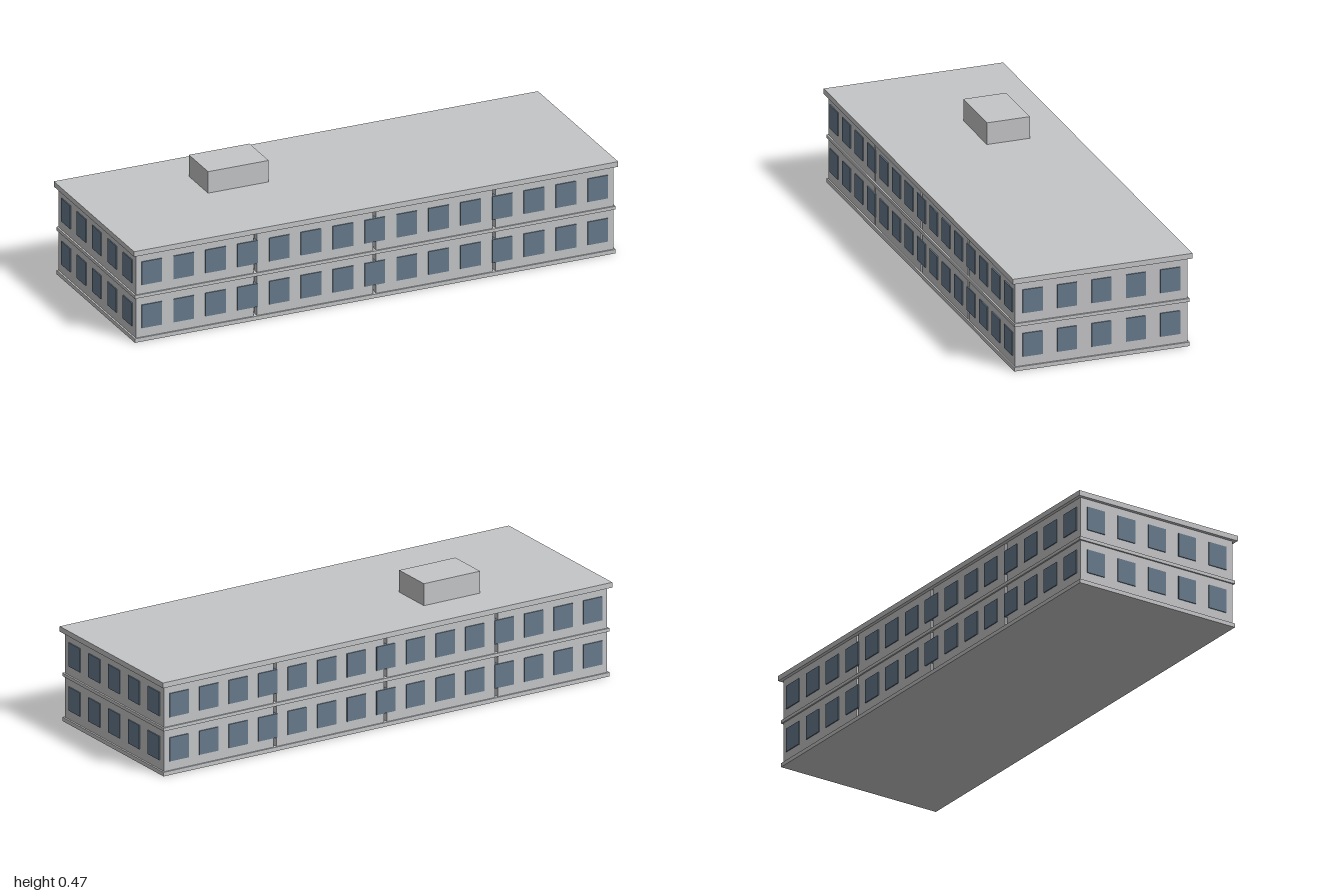
import * as THREE from 'three';

export function createModel() {
  const model = new THREE.Group();
  model.name = 'officeBlock';

  const concrete = new THREE.MeshStandardMaterial({ color: 0xc4c5c7 });
  concrete.name = 'light grey concrete';
  const glass = new THREE.MeshStandardMaterial({ color: 0x66798b });
  glass.name = 'blue grey glass';

  // Box given by its lower and upper corners
  function box(name, material, [x0, y0, z0], [x1, y1, z1], parent = model) {
    const mesh = new THREE.Mesh(new THREE.BoxGeometry(x1 - x0, y1 - y0, z1 - z0), material);
    mesh.position.set((x0 + x1) / 2, (y0 + y1) / 2, (z0 + z1) / 2);
    mesh.name = name;
    parent.add(mesh);
  }

  const X = 0.986, Z = 0.346;   // outer wall faces
  const T = 0.025;              // wall thickness
  const OUT = 0.004;            // how far windows stand proud
  const GAP = 0.0065;           // half width of the joints between wall panels

  // Floor slabs and roof
  const slab = (name, x, z, y0, y1) => box(name, concrete, [-x, y0, -z], [x, y1, z]);
  slab('baseSlab', 0.993, 0.352, 0, 0.016);
  slab('middleSlab', 0.993, 0.352, 0.18, 0.193);
  slab('roofSlab', 1, 0.36, 0.357, 0.378);
  box('roofHut', concrete, [-0.52, 0.378, -0.19], [-0.27, 0.466, -0.018]);

  const floors = [
    { wall: [0.016, 0.18], window: [0.053, 0.148] },
    { wall: [0.193, 0.357], window: [0.23, 0.325] },
  ];

  floors.forEach(({ wall: [y0, y1], window: [w0, w1] }, level) => {
    const floor = new THREE.Group();
    floor.name = level ? 'upperFloor' : 'lowerFloor';
    model.add(floor);

    for (const s of [-1, 1]) {
      const side = s > 0 ? 'front' : 'back';
      const z = [s * Z, s * (Z - T)].sort((a, b) => a - b);
      const wz = [s * (Z + OUT), s * (Z - T)].sort((a, b) => a - b);

      // Long walls: four panels with open joints
      for (let i = 0; i < 4; i++) {
        const a = -X + i * X / 2 + (i > 0 ? GAP : 0);
        const b = -X + (i + 1) * X / 2 - (i < 3 ? GAP : 0);
        box(side + 'WallPanel', concrete, [a, y0, z[0]], [b, y1, z[1]], floor);
      }
      // Fifteen windows along each long wall
      for (let i = -7; i <= 7; i++) {
        const c = i * 0.1316;
        box(side + 'Window', glass, [c - 0.042, w0, wz[0]], [c + 0.042, w1, wz[1]], floor);
      }

      // End wall with five windows
      const end = s > 0 ? 'left' : 'right';
      const x = [s * X, s * (X - T)].sort((a, b) => a - b);
      const wx = [s * (X + OUT), s * (X - T)].sort((a, b) => a - b);
      box(end + 'EndWall', concrete, [x[0], y0, -Z + T], [x[1], y1, Z - T], floor);
      for (let i = -2; i <= 2; i++) {
        const c = i * 0.138;
        box(end + 'Window', glass, [wx[0], w0, c - 0.0395], [wx[1], w1, c + 0.0395], floor);
      }
    }
  });

  return model;
}
